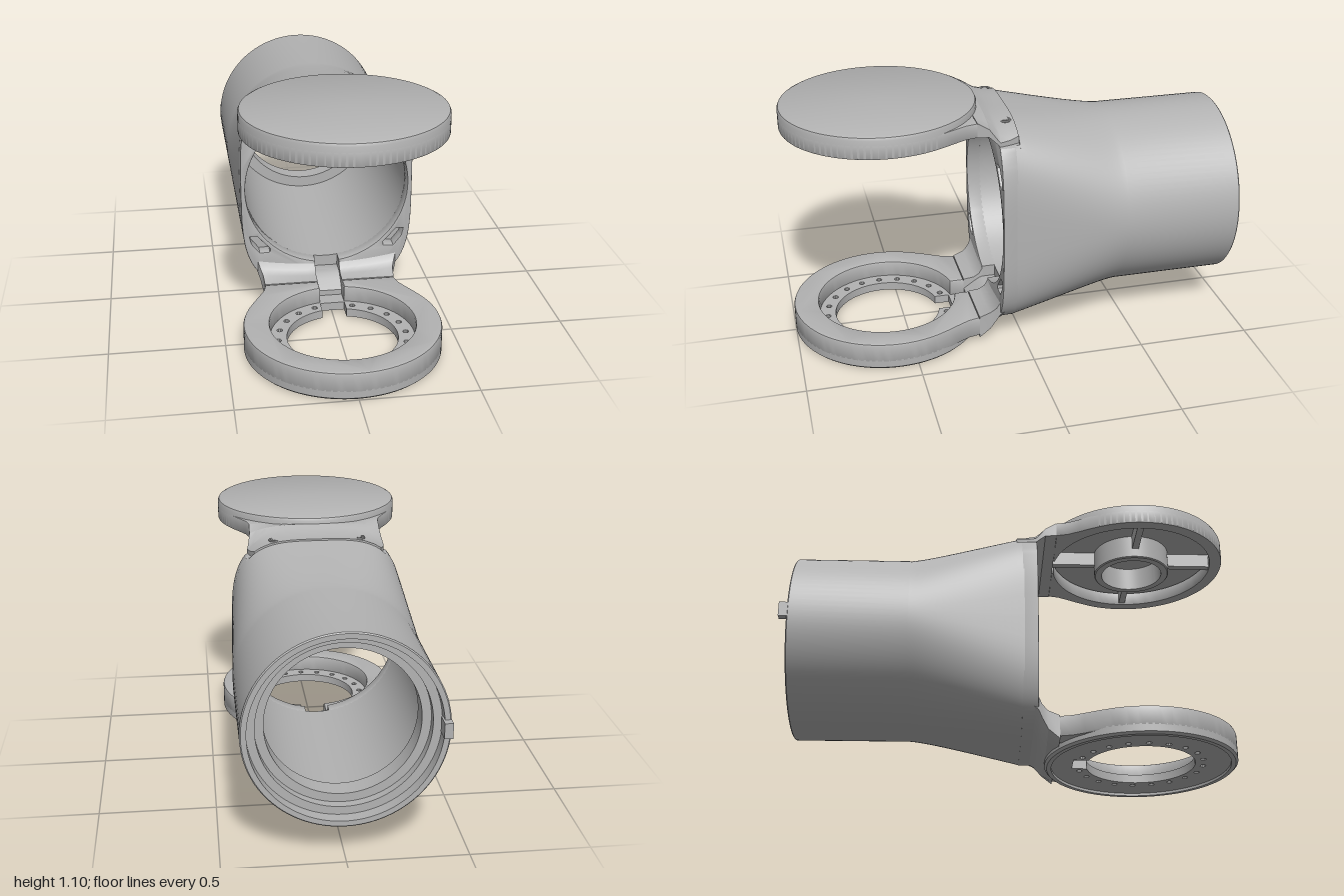
import * as THREE from 'three';
import { toCreasedNormals } from 'three/addons/utils/BufferGeometryUtils.js';

const CY = 0.55;   // height of the tube axis
const DZ = 0.575;  // z of the disc centres
const SLOT = 0.055;
const N = 96;
const grey = new THREE.MeshStandardMaterial({ color: 0xb2b2b2 });
grey.name = 'grey plastic';

const V2 = (x, y) => new THREE.Vector2(x, y);
const lerp = THREE.MathUtils.lerp;

function mesh(name, geometry) {
  const m = new THREE.Mesh(toCreasedNormals(geometry, 0.5), grey);
  m.name = name;
  return m;
}

// Skin through equal-sized closed rings of [x, y, z]
function loft(rings) {
  const n = rings[0].length, index = [];
  for (let i = 0; i < rings.length - 1; i++) {
    for (let j = 0; j < n; j++) {
      const a = i * n + j, b = i * n + (j + 1) % n;
      index.push(a, b, b + n, a, b + n, a + n);
    }
  }
  const g = new THREE.BufferGeometry();
  g.setAttribute('position', new THREE.Float32BufferAttribute(rings.flat(2), 3));
  g.setIndex(index);
  return g;
}

// Tube section: a circle at the back, a tall rounded block at the front
function section(f, topLimit = 1, inset = 0) {
  const a = lerp(0.412, 0.39, f) - inset, b = lerp(0.412, 0.485, f) - inset, e = 2 / lerp(2, 3.6, f);
  return Array.from({ length: N }, (_, i) => {
    const t = i / N * Math.PI * 2, c = Math.cos(t), s = Math.sin(t);
    return V2(a * Math.sign(c) * Math.abs(c) ** e,
      Math.min(topLimit, b * Math.sign(s) * Math.abs(s) ** e));
  });
}
const flare = z => THREE.MathUtils.clamp((z + 0.45) / 0.5, 0, 1) ** 1.3;

function tubeGeometry() {
  const rings = [];
  const outer = (z, limit, inset) => rings.push(section(flare(z), limit, inset).map(p => [p.x, p.y + CY, z]));
  const round = (r, z) => rings.push(section(0).map(p => [p.x * r / 0.412, p.y * r / 0.412 + CY, z]));
  round(0.385, -0.965);
  outer(-0.965, 1, 0.005);
  outer(-0.96);
  for (let i = 0; i <= 16; i++) outer(lerp(-0.45, 0.02, i / 16));
  outer(0.02, 0.405);
  outer(0.05, 0.405);
  // bore, inner ledge and stepped rear socket
  [[0.37, 0.05], [0.365, -0.78], [0.313, -0.78], [0.313, -0.87], [0.35, -0.87],
    [0.35, -0.91], [0.385, -0.91], [0.385, -0.965]].forEach(([r, z]) => round(r, z));
  return loft(rings);
}

const arc = (r, a0, a1, n, cy = 0) => Array.from({ length: n + 1 }, (_, i) => {
  const t = lerp(a0, a1, i / n);
  return V2(r * Math.cos(t), cy + r * Math.sin(t));
});

// Extrusion with chamfered edges, from z = 0 to depth
function extrude(shape, depth, bevel) {
  const g = new THREE.ExtrudeGeometry(shape, {
    depth: depth - 2 * bevel, bevelEnabled: bevel > 0, bevelThickness: bevel,
    bevelSize: bevel, bevelOffset: -bevel, bevelSegments: 2, curveSegments: 48,
  });
  return g.translate(0, 0, bevel);
}
// The same, laid flat: shape y becomes world z
const flat = (shape, y0, y1, bevel) => extrude(shape, y1 - y0, bevel).rotateX(Math.PI / 2).translate(0, y1, 0);

// Front collar with bore, cable notches and four corner pockets
function collarGeometry() {
  const shape = new THREE.Shape(section(1, 0.405));
  const r = 0.37, a = Math.acos(SLOT / r);
  shape.holes.push(new THREE.Path([
    ...arc(r, -a, a, 40), V2(SLOT, 0.39), V2(-SLOT, 0.39),
    ...arc(r, Math.PI - a, Math.PI + a, 40), V2(-SLOT, -0.42), V2(SLOT, -0.42),
  ]));
  const pocket = [[0.31, 0.308], [0.264, 0.306], [0.263, 0.29], [0.322, 0.225], [0.355, 0.226], [0.346, 0.262]];
  for (const sx of [-1, 1]) for (const sy of [-1, 1]) {
    shape.holes.push(new THREE.Path(pocket.map(([x, y]) => V2(x * sx, y * sy))));
  }
  return extrude(shape, 0.07, 0.005).translate(0, CY, 0.04);
}

// Ring with a flared root towards the tube, slotted at the back
function rootedRing(inner) {
  const a = Math.atan2(-0.175, 0.387), b = Math.acos(SLOT / inner);
  const side = [[SLOT, 0.2], [0.297, 0.2], [0.309, 0.25], [0.335, 0.3], [0.363, 0.35]];
  return new THREE.Shape([
    ...side.map(([x, z]) => V2(x, z)),
    ...arc(0.425, a, Math.PI - a, 72, DZ),
    ...side.map(([x, z]) => V2(-x, z)).reverse(),
    ...arc(inner, 1.5 * Math.PI - (Math.PI / 2 - b), -b, 72, DZ),
  ]);
}

// Neck between disc and tube; stations are [z, half width, outer, inner] measured from the axis
function neckGeometry(stations, up) {
  const xs = [1, 0.9, 0.75, 0.6, 0.45, 0.3];
  const ring = ([z, w, outer, inner, slot], collapsed) => {
    const line = [...xs.map(k => k * w), SLOT + 0.001, SLOT];
    const all = [...line, ...line.map(x => -x).reverse()];
    const k = THREE.MathUtils.clamp((z - 0.11) / 0.09, 0, 1);
    const top = all.map(x => {
      const v = outer * (1 - (Math.abs(x) / 0.39) ** 3.6) ** (1 / 3.6);
      return [x, lerp(v, outer, k)];
    });
    const bottom = all.map(x => {
      if (up) return [x, inner];
      return [x, Math.abs(x) <= SLOT ? slot : inner - 0.3 * x * x * (1 - k)];
    }).reverse();
    const n = all.length;
    const pts = [...top, ...bottom].map(([x, v], i, list) => {
      const mid = (v + list[2 * n - 1 - i][1]) / 2;
      return [x, CY + (up ? 1 : -1) * (collapsed ? mid : v), z];
    });
    return up ? pts : pts.reverse();
  };
  const last = stations.length - 1;
  return loft([ring(stations[0], true), ...stations.map(s => ring(s)), ring(stations[last], true)]);
}

const lathe = pts => new THREE.LatheGeometry(pts.map(([r, y]) => V2(r, y)), N).translate(0, 0, DZ);

export function createModel() {
  const model = new THREE.Group();
  model.name = 'tubeWithTwoDiscs';
  const add = (name, g) => model.add(mesh(name, g));

  add('tube', tubeGeometry());
  add('frontCollar', collarGeometry());
  add('rearTab', new THREE.BoxGeometry(0.035, 0.065, 0.07).translate(-0.393, 0.552, -0.965));

  // Lower disc: open ring, drilled ledge and bottom rim
  add('lowerRing', flat(rootedRing(0.313), 0.03, 0.125, 0.01));
  add('lowerRim', lathe([[0.395, 0.03], [0.395, 0], [0.415, 0], [0.425, 0.01], [0.425, 0.045]]));
  const ledge = new THREE.Shape().absarc(0, DZ, 0.4, 0, Math.PI * 2);
  const b = Math.acos(SLOT / 0.24);
  ledge.holes.push(new THREE.Path([
    ...arc(0.24, -b, Math.PI + b, 64, DZ), V2(-SLOT, DZ - 0.3), V2(SLOT, DZ - 0.3),
  ]));
  for (let i = 1; i < 20; i++) {
    const t = -Math.PI / 2 + i * Math.PI / 10;
    ledge.holes.push(new THREE.Path(arc(0.013, 0, Math.PI * 1.8, 9)
      .map(p => V2(p.x + 0.277 * Math.cos(t), p.y + DZ + 0.277 * Math.sin(t)))));
  }
  add('drilledLedge', flat(ledge, 0.012, 0.05, 0));
  add('lowerNeck', neckGeometry([
    [0.09, 0.325, 0.485, 0.38, 0.42], [0.11, 0.32, 0.495, 0.38, 0.42], [0.125, 0.31, 0.505, 0.405, 0.425],
    [0.15, 0.3, 0.525, 0.42, 0.44], [0.2, 0.297, 0.53, 0.425, 0.475]], false));

  // Upper disc: cap with hollow underside, hub and ribs
  add('upperCap', lathe([[0, 1.075], [0.395, 1.075], [0.395, 1], [0.42, 1], [0.425, 1.005],
    [0.425, 1.083], [0.42, 1.094], [0.408, 1.1], [0, 1.1]]));
  add('upperRoot', flat(rootedRing(0.37), 1, 1.065, 0.005));
  add('upperHub', lathe([[0.14, 1.08], [0.14, 0.965], [0.17, 0.965], [0.175, 0.97], [0.175, 1.08]]));
  for (let i = 0; i < 4; i++) {
    add('upperRib', new THREE.BoxGeometry(0.225, 0.07, 0.03).translate(0.275, 1.045, 0)
      .rotateY(i * Math.PI / 2).translate(0, 0, DZ));
  }
  add('upperNeck', neckGeometry([
    [0.02, 0.285, 0.487, 0.405], [0.06, 0.3, 0.49, 0.405], [0.105, 0.312, 0.5, 0.405],
    [0.125, 0.305, 0.508, 0.425], [0.15, 0.298, 0.52, 0.448], [0.2, 0.297, 0.515, 0.45]], true));

  // Screws that hold the upper neck to the tube
  for (const x of [-0.19, 0.19]) {
    add('screwRim', new THREE.TorusGeometry(0.024, 0.005, 8, 24).rotateX(Math.PI / 2).translate(x, 1.027, 0.06));
    add('screwHead', new THREE.CylinderGeometry(0.014, 0.014, 0.02, 6).translate(x, 1.02, 0.06));
  }
  return model;
}
